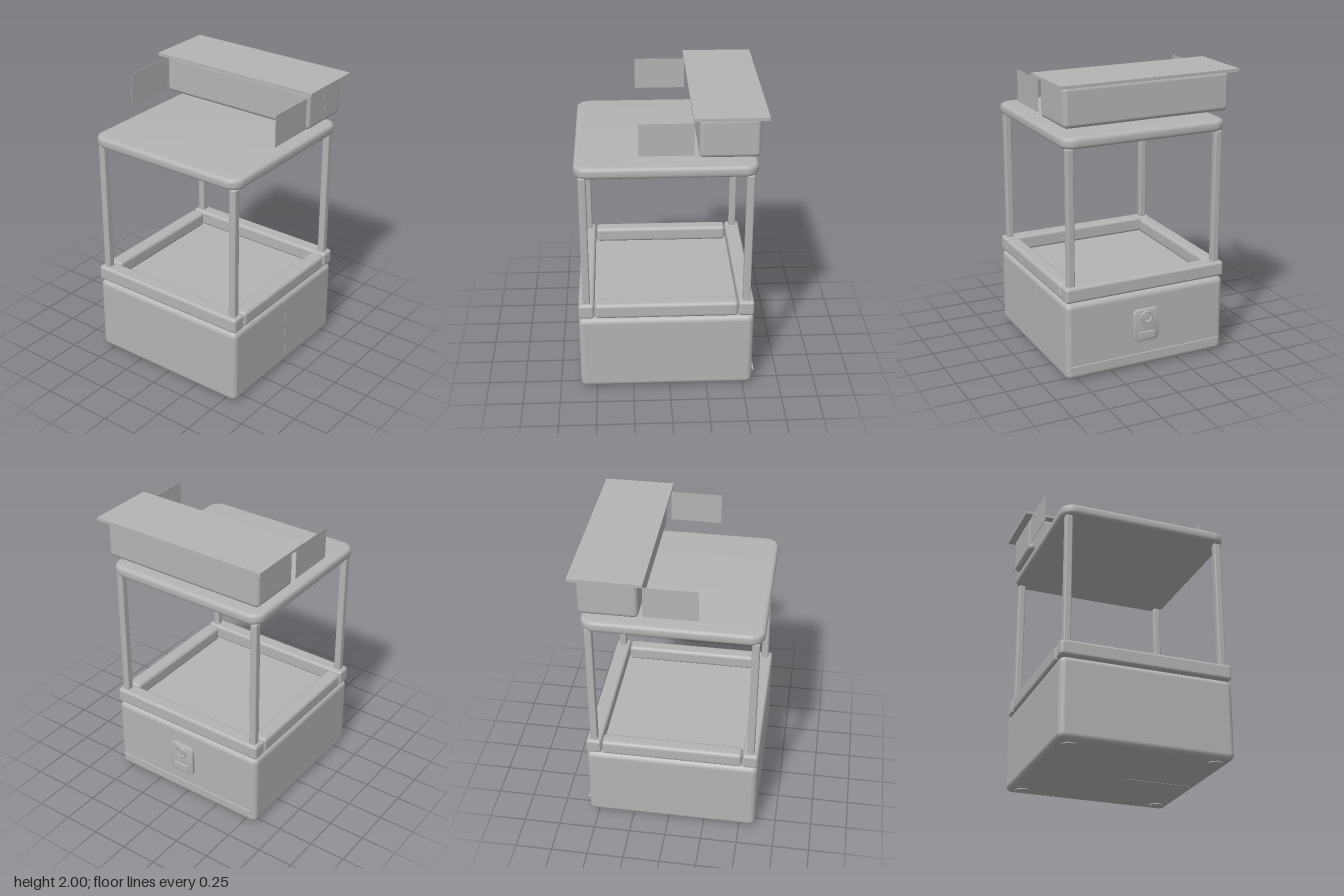
import * as THREE from 'three';
import { RoundedBoxGeometry } from 'three/addons/geometries/RoundedBoxGeometry.js';
import { toCreasedNormals } from 'three/addons/utils/BufferGeometryUtils.js';

const grey = new THREE.MeshStandardMaterial({ color: 0xb4b4b4 });
grey.name = 'plain grey';

export function createModel() {
  const model = new THREE.Group();
  model.name = 'displayStand';

  const add = (name, geometry, x = 0, y = 0, z = 0) => {
    const mesh = new THREE.Mesh(geometry, grey);
    mesh.name = name;
    mesh.position.set(x, y, z);
    model.add(mesh);
    return mesh;
  };
  // Boxes given by their limits; a radius rounds every edge
  const block = (name, [x0, x1], [y0, y1], [z0, z1], r = 0) => {
    const size = [x1 - x0, y1 - y0, z1 - z0];
    const g = r ? new RoundedBoxGeometry(...size, 4, r) : new THREE.BoxGeometry(...size);
    return add(name, g, (x0 + x1) / 2, (y0 + y1) / 2, (z0 + z1) / 2);
  };
  // Flat slab with rounded plan corners and softened rims
  const slab = (name, w, h, d, r, bevel, x, y, z) => {
    const a = w / 2 - bevel, b = d / 2 - bevel, c = r - bevel;
    const s = new THREE.Shape();
    s.absarc(a - c, b - c, c, 0, Math.PI / 2);
    s.absarc(-a + c, b - c, c, Math.PI / 2, Math.PI);
    s.absarc(-a + c, -b + c, c, Math.PI, Math.PI * 1.5);
    s.absarc(a - c, -b + c, c, Math.PI * 1.5, Math.PI * 2);
    const g = new THREE.ExtrudeGeometry(s, {
      depth: h - 2 * bevel, bevelThickness: bevel, bevelSize: bevel, bevelSegments: 4, curveSegments: 8,
    });
    g.translate(0, 0, bevel - h / 2);
    const mesh = add(name, toCreasedNormals(g, 0.6), x, y, z);
    return mesh;
  };

  const W = 0.588, back = -0.565, front = 0.61, midZ = (back + front) / 2;

  // Cabinet and low feet
  block('cabinet', [-W, W], [0.006, 0.55], [back, front], 0.04);
  for (const x of [-0.49, 0.49]) for (const z of [back + 0.1, front - 0.1])
    add('foot', new THREE.CylinderGeometry(0.05, 0.05, 0.01, 24), x, 0.005, z);

  // Tray rim: full-width front and back rails with shorter side rails
  block('frontRail', [-W, W], [0.555, 0.66], [0.505, front], 0.02);
  block('backRail', [-W, W], [0.555, 0.66], [back, -0.46], 0.02);
  for (const s of [-1, 1]) {
    const rail = block('sideRail', [0.485, W], [0.553, 0.66], [-0.457, 0.5], 0.025);
    rail.position.x *= s;
  }
  block('trayFloor', [-0.5, 0.5], [0.54, 0.556], [-0.48, 0.52]);

  // Four posts
  for (const s of [-1, 1]) for (const z of [-0.513, 0.557])
    add('post', new RoundedBoxGeometry(0.05, 0.94, 0.05, 3, 0.01), s * 0.537, 1.11, z);

  // Shelf on the posts
  slab('shelf', W * 2, front - back, 0.075, 0, 0, 0, 0, 0).removeFromParent();
  slab('shelf', W * 2, 0.075, front - back, 0.09, 0.025, 0, 1.6175, midZ).rotation.x = -Math.PI / 2;

  // Header box, cover and side wings
  block('headerBox', [-W, W], [1.716, 1.981], [back, -0.18], 0.03);
  block('cover', [-0.63, 0.63], [1.98, 2], [-0.61, -0.14]);
  for (const s of [-1, 1])
    add('sideWing', new THREE.BoxGeometry(0.003, 0.215, 0.35), s * 0.588, 1.8475, 0.025);

  // Fine seams on the left-hand side
  const seam = (y0, y1, z) => block('seam', [W - 0.002, W + 0.002], [y0, y1], [z - 0.005, z + 0.005]);
  seam(0.045, 0.51, 0.015);
  seam(1.605, 1.63, 0.015);
  seam(1.746, 1.95, -0.372);
  block('shelfSeam', [0.07, 0.57], [1.65, 1.656], [0.013, 0.018]);
  block('bottomSeam', [0.07, 0.55], [0.004, 0.01], [0.012, 0.018]);

  // Rear strip and control panel
  block('rearStrip', [-0.56, 0.56], [0.093, 0.107], [back - 0.012, back + 0.005]);
  slab('controlPanel', 0.19, 0.025, 0.23, 0.035, 0.005, 0.015, 0.315, back - 0.0125);
  model.children.at(-1).rotation.x = 0;
  const ring = add('dialRing', new THREE.TorusGeometry(0.038, 0.008, 10, 36), 0.015, 0.375, back - 0.026);
  ring.scale.z = 1.1;
  const dial = add('dial', new THREE.CylinderGeometry(0.026, 0.026, 0.012, 28), 0.015, 0.375, back - 0.027);
  dial.rotation.x = Math.PI / 2;
  block('dialGrip', [0.009, 0.021], [0.352, 0.398], [back - 0.036, back - 0.025]);
  block('panelButton', [-0.045, 0.075], [0.22, 0.272], [back - 0.034, back - 0.02], 0.005);

  return model;
}
